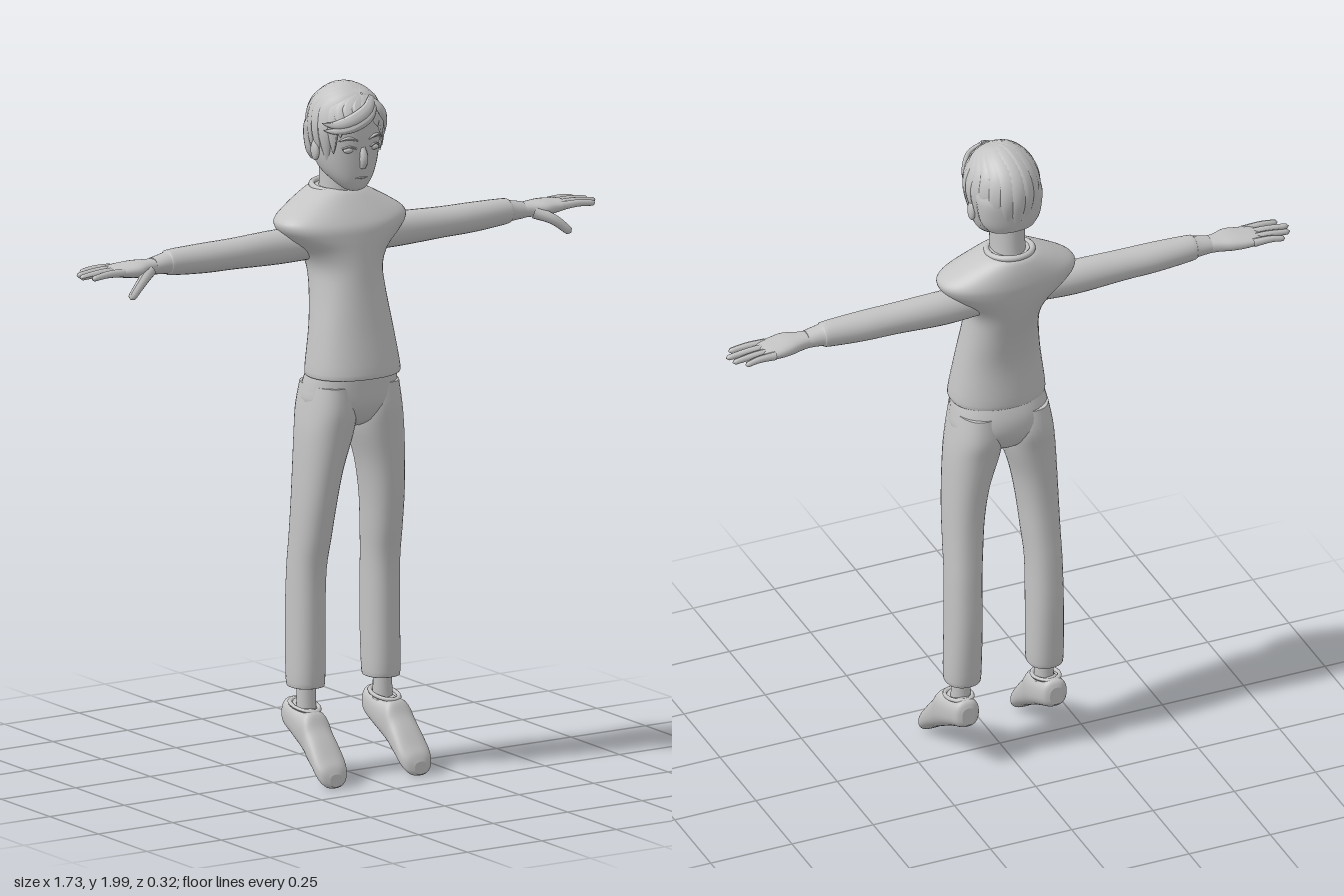
import * as THREE from 'three';

const grey = new THREE.MeshStandardMaterial({ color: 0xc4c4c4 });
grey.name = 'plainGrey';

const spline = (a, b, c, d, t) =>
  0.5 * (2 * b + (c - a) * t + (2 * a - 5 * b + 4 * c - d) * t * t + (3 * b - a - 3 * c + d) * t ** 3);

// Even permutations keep the winding outward for ascending rows
const AXES = {
  y: (u, t, v) => [u, t, v], // u = x, v = z
  x: (u, t, v) => [t, v, u], // u = z, v = y
  z: (u, t, v) => [v, u, t], // u = y, v = x
};

// Smooth skin through oval sections; a row is [t, u0, u1, v0, v1]
function loft(axis, rows, power = 2, n = 32, sub = 4) {
  const place = AXES[axis], pos = [], idx = [], at = (i) => rows[Math.min(rows.length - 1, Math.max(0, i))];
  const sections = [];
  for (let i = 0; i < rows.length - 1; i++)
    for (let s = 0; s < sub; s++)
      sections.push(at(i).map((b, k) => spline(at(i - 1)[k], b, at(i + 1)[k], at(i + 2)[k], s / sub)));
  sections.push(at(rows.length));
  const bend = (x) => Math.sign(x) * Math.abs(x) ** (2 / power);
  const ring = ([t, u0, u1, v0, v1]) => {
    for (let j = 0; j < n; j++) {
      const a = (j / n) * Math.PI * 2;
      pos.push(...place((u0 + u1) / 2 + bend(Math.cos(a)) * (u1 - u0) / 2, t,
        (v0 + v1) / 2 + bend(Math.sin(a)) * (v1 - v0) / 2));
    }
  };
  sections.forEach(ring);
  for (let i = 0; i < sections.length - 1; i++)
    for (let j = 0; j < n; j++) {
      const a = i * n + j, b = i * n + (j + 1) % n;
      idx.push(a, a + n, b, b, a + n, b + n);
    }
  // End caps with their own vertices, so hems stay crisp
  [[sections[0], true], [sections[sections.length - 1], false]].forEach(([s, start]) => {
    const base = pos.length / 3;
    ring(s);
    pos.push(...place((s[1] + s[2]) / 2, s[0], (s[3] + s[4]) / 2));
    for (let j = 0; j < n; j++) {
      const a = base + j, b = base + (j + 1) % n;
      idx.push(base + n, start ? a : b, start ? b : a);
    }
  });
  const g = new THREE.BufferGeometry();
  g.setAttribute('position', new THREE.Float32BufferAttribute(pos, 3));
  g.setIndex(idx);
  g.computeVertexNormals();
  return g;
}

// Tapered tube, optionally flattened along the direction away from a centre
function taper(points, radius, profile, flat = 1, centre = null, segs = 16, sides = 10) {
  const curve = new THREE.CatmullRomCurve3(points);
  const g = new THREE.TubeGeometry(curve, segs, radius, sides);
  const p = g.attributes.position, v = new THREE.Vector3();
  for (let i = 0; i <= segs; i++) {
    const c = curve.getPointAt(i / segs);
    const out = centre ? c.clone().sub(centre).normalize() : null;
    for (let j = 0; j <= sides; j++) {
      const k = i * (sides + 1) + j;
      v.fromBufferAttribute(p, k).sub(c).multiplyScalar(profile(i / segs));
      if (out) v.addScaledVector(out, -v.dot(out) * (1 - flat));
      v.add(c);
      p.setXYZ(k, v.x, v.y, v.z);
    }
  }
  g.computeVertexNormals();
  return g;
}

function mirrored(g) {
  const m = g.clone().scale(-1, 1, 1), a = m.index.array;
  for (let i = 0; i < a.length; i += 3) [a[i + 1], a[i + 2]] = [a[i + 2], a[i + 1]];
  m.computeVertexNormals();
  return m;
}

export function createModel() {
  const model = new THREE.Group();
  const add = (name, g, parent = model) => {
    const m = new THREE.Mesh(g, grey);
    m.name = name;
    parent.add(m);
    return m;
  };
  const pair = (name, g) => {
    add(name + 'Left', g);
    add(name + 'Right', mirrored(g));
  };
  const V = (x, y, z) => new THREE.Vector3(x, y, z);
  const ball = (x, y, z, rx, ry, rz) => new THREE.SphereGeometry(1, 16, 12).scale(rx, ry, rz).translate(x, y, z);

  // Loose shirt flaring into short draped sleeves
  add('shirt', loft('y', [
    [1.165, -0.134, 0.134, -0.08, 0.13], [1.18, -0.14, 0.14, -0.087, 0.136], [1.3, -0.122, 0.122, -0.085, 0.115],
    [1.4, -0.107, 0.107, -0.105, 0.1], [1.47, -0.104, 0.104, -0.128, 0.092], [1.52, -0.13, 0.13, -0.143, 0.087],
    [1.56, -0.178, 0.178, -0.152, 0.083], [1.59, -0.203, 0.203, -0.156, 0.078], [1.615, -0.198, 0.198, -0.157, 0.065],
    [1.65, -0.145, 0.145, -0.153, 0.04], [1.68, -0.09, 0.09, -0.143, 0.015], [1.69, -0.066, 0.066, -0.13, -0.002],
  ], 2.2, 48));
  add('collar', new THREE.TorusGeometry(0.065, 0.009, 10, 36).rotateX(Math.PI / 2)
    .rotateX(0.1).translate(0, 1.687, -0.067));

  // Trousers
  add('trouserSeat', loft('y', [
    [1.015, -0.03, 0.03, -0.05, 0.05], [1.035, -0.085, 0.085, -0.075, 0.082], [1.08, -0.142, 0.142, -0.097, 0.108],
    [1.13, -0.141, 0.141, -0.097, 0.115], [1.18, -0.13, 0.13, -0.08, 0.117],
  ], 2.3));
  pair('trouserLeg', loft('y', [
    [0.27, 0.082, 0.17, -0.07, 0.025], [0.28, 0.075, 0.178, -0.08, 0.034], [0.45, 0.074, 0.176, -0.09, 0.036],
    [0.6, 0.073, 0.174, -0.086, 0.04], [0.7, 0.066, 0.172, -0.079, 0.058], [0.8, 0.057, 0.17, -0.075, 0.075],
    [0.9, 0.04, 0.166, -0.078, 0.088], [1.0, 0.01, 0.16, -0.087, 0.1], [1.07, 0.002, 0.15, -0.097, 0.108],
    [1.14, 0.012, 0.137, -0.088, 0.105],
  ], 2.3));

  // Ankles and shoes with the toes hanging down
  pair('ankle', new THREE.CylinderGeometry(0.026, 0.029, 0.14, 20).translate(0.128, 0.24, -0.017));
  pair('shoe', loft('z', [
    [-0.09, 0.15, 0.205, 0.115, 0.155], [-0.078, 0.138, 0.224, 0.099, 0.171], [-0.04, 0.12, 0.216, 0.093, 0.176],
    [0.01, 0.094, 0.205, 0.092, 0.18], [0.045, 0.073, 0.2, 0.092, 0.184], [0.07, 0.058, 0.163, 0.091, 0.188],
    [0.1, 0.039, 0.128, 0.09, 0.19], [0.13, 0.017, 0.09, 0.091, 0.191], [0.15, 0.004, 0.066, 0.102, 0.182],
    [0.16, 0.008, 0.045, 0.122, 0.162],
  ], 2.5));
  pair('shoeCuff', new THREE.TorusGeometry(0.036, 0.006, 8, 28).rotateX(Math.PI / 2)
    .scale(1, 1, 1.45).rotateX(0.18).translate(0.134, 0.21, -0.016));

  // Arms held straight out
  pair('arm', loft('x', [
    [0.08, -0.1, 0, 1.49, 1.58], [0.2, -0.104, -0.01, 1.486, 1.585], [0.35, -0.1, -0.009, 1.492, 1.58],
    [0.45, -0.099, -0.01, 1.494, 1.579], [0.56, -0.092, -0.018, 1.502, 1.576], [0.575, -0.087, -0.022, 1.508, 1.57],
    [0.62, -0.083, -0.025, 1.512, 1.56],
  ], 2, 24));
  pair('hand', loft('x', [
    [0.6, -0.08, -0.028, 1.514, 1.556], [0.64, -0.087, -0.022, 1.514, 1.557], [0.68, -0.1, -0.007, 1.513, 1.558],
    [0.72, -0.107, -0.012, 1.517, 1.554], [0.755, -0.106, -0.017, 1.523, 1.549], [0.768, -0.1, -0.022, 1.53, 1.542],
  ], 2.4, 24));
  const fingerShape = (t) => (t > 0.9 ? Math.sqrt(Math.max(0, 1 - ((t - 0.9) / 0.1) ** 2)) : 1) * (1 - 0.35 * t);
  [[-0.1, -0.108, 0.83], [-0.075, -0.08, 0.858], [-0.05, -0.052, 0.866], [-0.026, -0.021, 0.845]].forEach(([z0, z1, tip], i) =>
    pair('finger' + (i + 1), taper([V(0.735, 1.537, z0), V(0.79, 1.539, (z0 + z1) / 2), V(tip, 1.533, z1)], 0.0125, fingerShape)));
  pair('thumb', taper([V(0.645, 1.53, -0.03), V(0.69, 1.51, 0), V(0.74, 1.468, 0.017)], 0.018, fingerShape));

  // Neck and head
  add('neck', loft('y', [
    [1.64, -0.053, 0.053, -0.12, 0], [1.7, -0.049, 0.049, -0.112, 0.008], [1.8, -0.05, 0.05, -0.11, 0.015],
  ]));
  add('head', loft('y', [
    [1.694, -0.018, 0.018, 0.025, 0.05], [1.702, -0.034, 0.034, 0.005, 0.062], [1.725, -0.058, 0.058, -0.035, 0.07],
    [1.755, -0.078, 0.078, -0.08, 0.075], [1.8, -0.092, 0.092, -0.108, 0.079], [1.86, -0.097, 0.097, -0.12, 0.083],
    [1.92, -0.09, 0.09, -0.115, 0.08], [1.965, -0.06, 0.06, -0.085, 0.05], [1.98, -0.02, 0.02, -0.04, 0.005],
  ], 2.2));
  add('nose', taper([V(0, 1.825, 0.078), V(0, 1.79, 0.084), V(0, 1.765, 0.078)], 0.012,
    (t) => 0.35 + 0.65 * Math.sin(Math.PI * Math.min(1, 0.1 + t * 0.75))));
  add('mouth', ball(0, 1.735, 0.071, 0.02, 0.003, 0.004));
  pair('ear', ball(0.096, 1.81, -0.02, 0.01, 0.03, 0.018));
  pair('eye', ball(0.042, 1.819, 0.07, 0.017, 0.008, 0.008));
  pair('eyelid', taper([V(0.022, 1.823, 0.079), V(0.042, 1.83, 0.075), V(0.062, 1.824, 0.066)], 0.003, () => 1));
  pair('eyebrow', taper([V(0.018, 1.846, 0.081), V(0.045, 1.855, 0.076), V(0.07, 1.847, 0.062)], 0.005,
    (t) => 0.3 + Math.sin(Math.PI * t) * 0.7));

  // Hair: an undercap covered by overlapping tapered locks
  const hair = new THREE.Group();
  hair.name = 'hair';
  model.add(hair);
  add('hairCap', loft('y', [
    [1.77, -0.07, 0.07, -0.115, -0.04], [1.8, -0.09, 0.09, -0.123, -0.02], [1.86, -0.099, 0.099, -0.13, 0.0],
    [1.89, -0.1, 0.1, -0.13, 0.06], [1.91, -0.098, 0.098, -0.126, 0.094], [1.945, -0.082, 0.082, -0.108, 0.08],
    [1.975, -0.052, 0.052, -0.07, 0.045], [1.988, -0.015, 0.015, -0.025, 0.0],
  ]), hair);

  const centre = V(0, 1.875, -0.012);
  const onScalp = (d, lift = 1) => V(d.x * 0.096 * lift, d.y * (d.y > 0 ? 0.113 : 0.2), d.z * 0.117 * lift).add(centre);
  const lockShape = (t) => Math.max(0.02, Math.sin(Math.PI * (0.14 + 0.855 * t)) ** 0.7);
  const whorl = V(0.12, 0.82, 0.55).normalize();
  const lock = (degrees, endY, width, lift = 1, midY = 0.75) => {
    const a = THREE.MathUtils.degToRad(degrees), sin = Math.sin(a), cos = Math.cos(a);
    const h = endY - centre.y, s = h / (h > 0 ? 0.113 : 0.2), r = Math.sqrt(1 - s * s);
    const mid = V(sin, midY, cos).normalize(), end = V(sin * r, s, cos * r);
    const path = [onScalp(whorl), onScalp(whorl.clone().add(mid).normalize()), onScalp(mid),
      onScalp(mid.clone().add(end).normalize(), 1.01), onScalp(end, lift)];
    add('hairLock', taper(path, width, lockShape, 0.45, centre, 20), hair);
  };
  // Back and sides
  for (let i = 0; i < 13; i++) {
    const deg = 72 + i * 18;
    lock(deg, 1.775 + 0.012 * (i % 2) - 0.012 * Math.sin((i / 12) * Math.PI), 0.027);
  }
  // Sideburns and swept fringe: angle, end height, width, outward lift
  [[58, 1.8, 0.021, 1.03], [46, 1.82, 0.019, 1.05], [34, 1.85, 0.02, 1.05], [20, 1.885, 0.021, 1.04],
    [2, 1.905, 0.022, 1.04], [-14, 1.895, 0.021, 1.04], [-30, 1.88, 0.021, 1.05], [-46, 1.86, 0.02, 1.05],
    [-58, 1.81, 0.021, 1.03]].forEach((l) => lock(...l));
  // Long strands sweeping sideways over the forehead, one kicking out
  const strand = (pts, w) => add('fringeStrand', taper(pts.map((p) => V(...p)), w, lockShape, 0.5, centre), hair);
  strand([[0.035, 1.965, 0.07], [0, 1.938, 0.1], [-0.05, 1.91, 0.092], [-0.09, 1.896, 0.06], [-0.115, 1.902, 0.045]], 0.018);
  strand([[0.04, 1.95, 0.08], [0.005, 1.918, 0.105], [-0.045, 1.89, 0.095], [-0.085, 1.877, 0.06], [-0.108, 1.88, 0.04]], 0.015);
  strand([[0.025, 1.965, 0.07], [0.055, 1.93, 0.086], [0.078, 1.885, 0.07], [0.075, 1.84, 0.066]], 0.017);
  return model;
}
